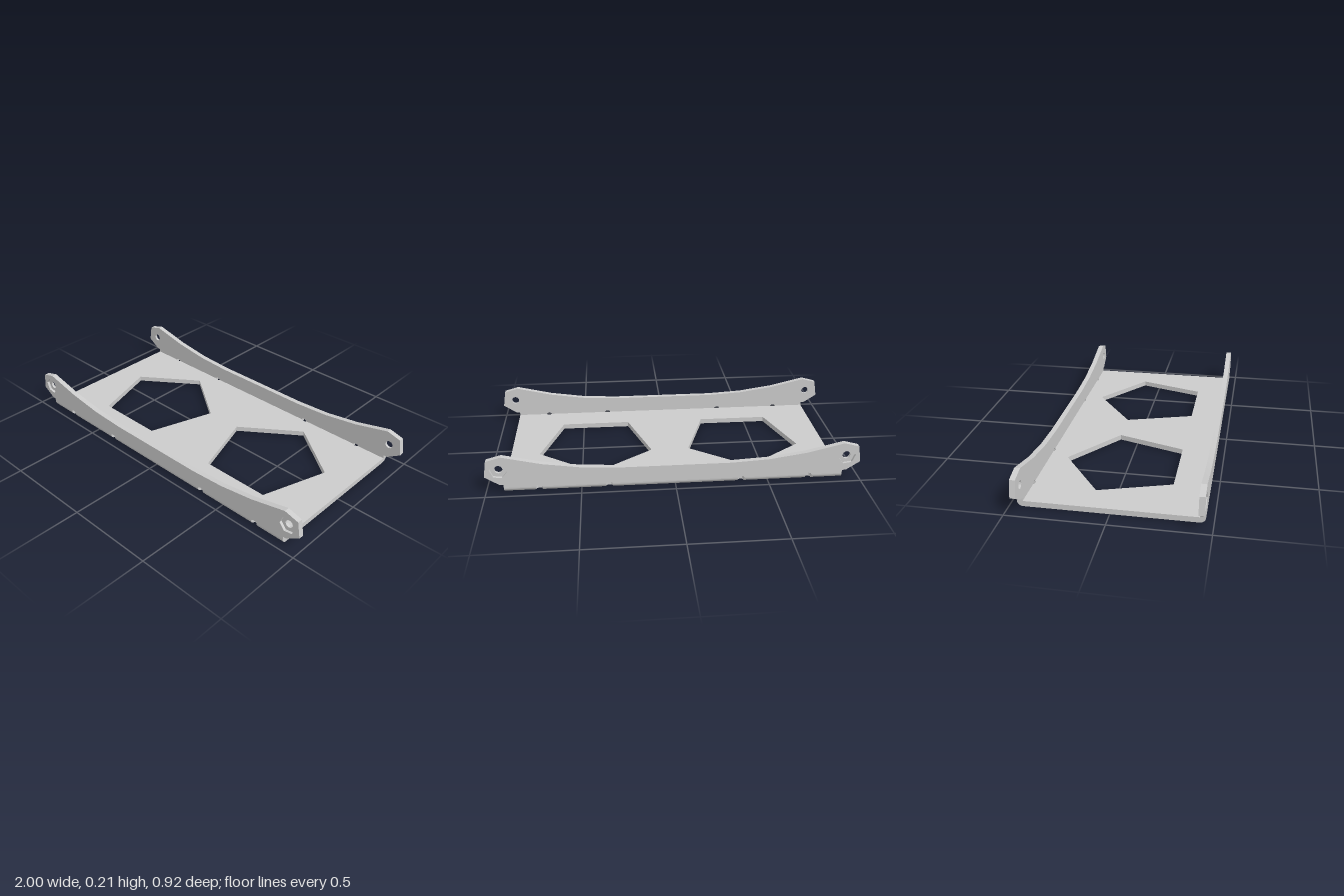
import * as THREE from 'three';
import { mergeGeometries, toCreasedNormals } from 'three/addons/utils/BufferGeometryUtils.js';

const T = 0.029;            // sheet thickness
const Z_IN = 0.432;         // inner face of the flanges
const Z_OUT = Z_IN + T;
const HALF = 0.905;         // half length of the base
const NOTCHES = [-0.722, -0.353, 0.353, 0.722];
const NW = 0.017;           // half width of a notch

const material = new THREE.MeshStandardMaterial({ color: 0xcccccc });
const vec = (x, y) => new THREE.Vector2(x, y);

// regular polygon, counter-clockwise
function polygon(cx, cy, r, sides, start) {
  return Array.from({ length: sides }, (_, i) => {
    const a = start + (i / sides) * Math.PI * 2;
    return vec(cx + r * Math.cos(a), cy + r * Math.sin(a));
  });
}

function shapeOf(points, holes = []) {
  const s = new THREE.Shape(points);
  s.holes = holes.map((h) => new THREE.Path(h));
  return s;
}

// flat face at height z, optionally facing -z
function cap(points, holes, z, flip = false) {
  let g = new THREE.ShapeGeometry(shapeOf(points, holes)).toNonIndexed();
  g.deleteAttribute('uv');
  g.translate(0, 0, z);
  if (flip) {
    const p = g.attributes.position;
    for (let i = 0; i < p.count; i += 3) {
      const a = new THREE.Vector3().fromBufferAttribute(p, i + 1);
      const b = new THREE.Vector3().fromBufferAttribute(p, i + 2);
      p.setXYZ(i + 1, b.x, b.y, b.z);
      p.setXYZ(i + 2, a.x, a.y, a.z);
    }
    g.computeVertexNormals();
  }
  return g;
}

// wall along a closed loop; counter-clockwise loops face outward
function wall(loop, z0, z1) {
  const pos = [];
  loop.forEach((a, i) => {
    const b = loop[(i + 1) % loop.length];
    pos.push(a.x, a.y, z0, b.x, b.y, z0, b.x, b.y, z1);
    pos.push(a.x, a.y, z0, b.x, b.y, z1, a.x, a.y, z1);
  });
  const g = new THREE.BufferGeometry();
  g.setAttribute('position', new THREE.Float32BufferAttribute(pos, 3));
  g.computeVertexNormals();
  return g;
}

// upright flange with swept top edge, end ears, nut recesses and bolt holes
function flangeGeometry() {
  const outline = [vec(-HALF, T)];
  for (const x of NOTCHES) {
    outline.push(vec(x - NW, T), vec(x - 0.011, 0.036), vec(x, 0.039), vec(x + 0.011, 0.036), vec(x + NW, T));
  }
  const end = [[HALF, T], [HALF, 0.048], [0.925, 0.048], [1, 0.097], [0.985, 0.188],
    [0.905, 0.21], [0.7, 0.162], [0.5, 0.133], [0.3, 0.122]];
  end.forEach(([x, y]) => outline.push(vec(x, y)));
  end.slice(1).reverse().forEach(([x, y]) => outline.push(vec(-x, y)));

  const zMid = Z_IN + T * 0.5;
  const recesses = [], bolts = [];
  for (const s of [-1, 1]) {
    const start = s > 0 ? 0.14 : Math.PI - 0.14;
    recesses.push(polygon(s * 0.925, 0.132, 0.047, 6, start));
    bolts.push(polygon(s * 0.925, 0.132, 0.022, 12, 0));
  }
  const parts = [
    cap(outline, recesses, Z_OUT),
    cap(outline, bolts, Z_IN, true),
    wall(outline, Z_IN, Z_OUT),
  ];
  recesses.forEach((r, i) => {
    parts.push(cap(r, [bolts[i]], zMid));
    parts.push(wall([...r].reverse(), zMid, Z_OUT));
    parts.push(wall([...bolts[i]].reverse(), Z_IN, zMid));
  });
  return toCreasedNormals(mergeGeometries(parts), 0.4);
}

// rounded fold between base and flange, interrupted by the notches
function foldGeometry() {
  const profile = new THREE.Shape();
  profile.moveTo(Z_IN, 0);
  profile.absarc(Z_IN, T, T, -Math.PI / 2, 0, false);
  profile.lineTo(Z_IN, T);
  profile.closePath();
  const stops = [-HALF, ...NOTCHES.flatMap((x) => [x - NW, x + NW]), HALF];
  const parts = [];
  for (let i = 0; i < stops.length; i += 2) {
    const g = new THREE.ExtrudeGeometry(profile, {
      depth: stops[i + 1] - stops[i], bevelEnabled: false, curveSegments: 8,
    });
    g.rotateY(-Math.PI / 2);
    g.translate(stops[i + 1], 0, 0);
    parts.push(g);
  }
  return toCreasedNormals(mergeGeometries(parts), 0.4);
}

// base sheet with two pentagon windows and small notches along both long edges
function baseGeometry() {
  const edge = [vec(-HALF, -Z_IN)];
  for (const x of NOTCHES) {
    edge.push(vec(x - NW, -Z_IN), vec(x - 0.011, -0.426), vec(x + 0.011, -0.426), vec(x + NW, -Z_IN));
  }
  edge.push(vec(HALF, -Z_IN));
  const outline = [...edge, ...edge.map((p) => vec(-p.x, -p.y))];
  const windows = [-1, 1].map((s) => polygon(s * 0.425, 0, 0.335, 5, Math.PI / 2));
  const g = new THREE.ExtrudeGeometry(shapeOf(outline, windows), { depth: T, bevelEnabled: false });
  g.rotateX(-Math.PI / 2);
  return g;
}

export function createModel() {
  const model = new THREE.Group();
  model.name = 'bracketTray';

  const base = new THREE.Mesh(baseGeometry(), material);
  base.name = 'basePlate';
  model.add(base);

  // the same side, turned half a circle for the back
  const flange = flangeGeometry(), fold = foldGeometry();
  for (const [name, turn] of [['front', 0], ['back', Math.PI]]) {
    const side = new THREE.Group();
    side.name = name + 'Side';
    const f = new THREE.Mesh(flange, material);
    f.name = name + 'Flange';
    const b = new THREE.Mesh(fold, material);
    b.name = name + 'Fold';
    side.add(f, b);
    side.rotation.y = turn;
    model.add(side);
  }
  return model;
}
